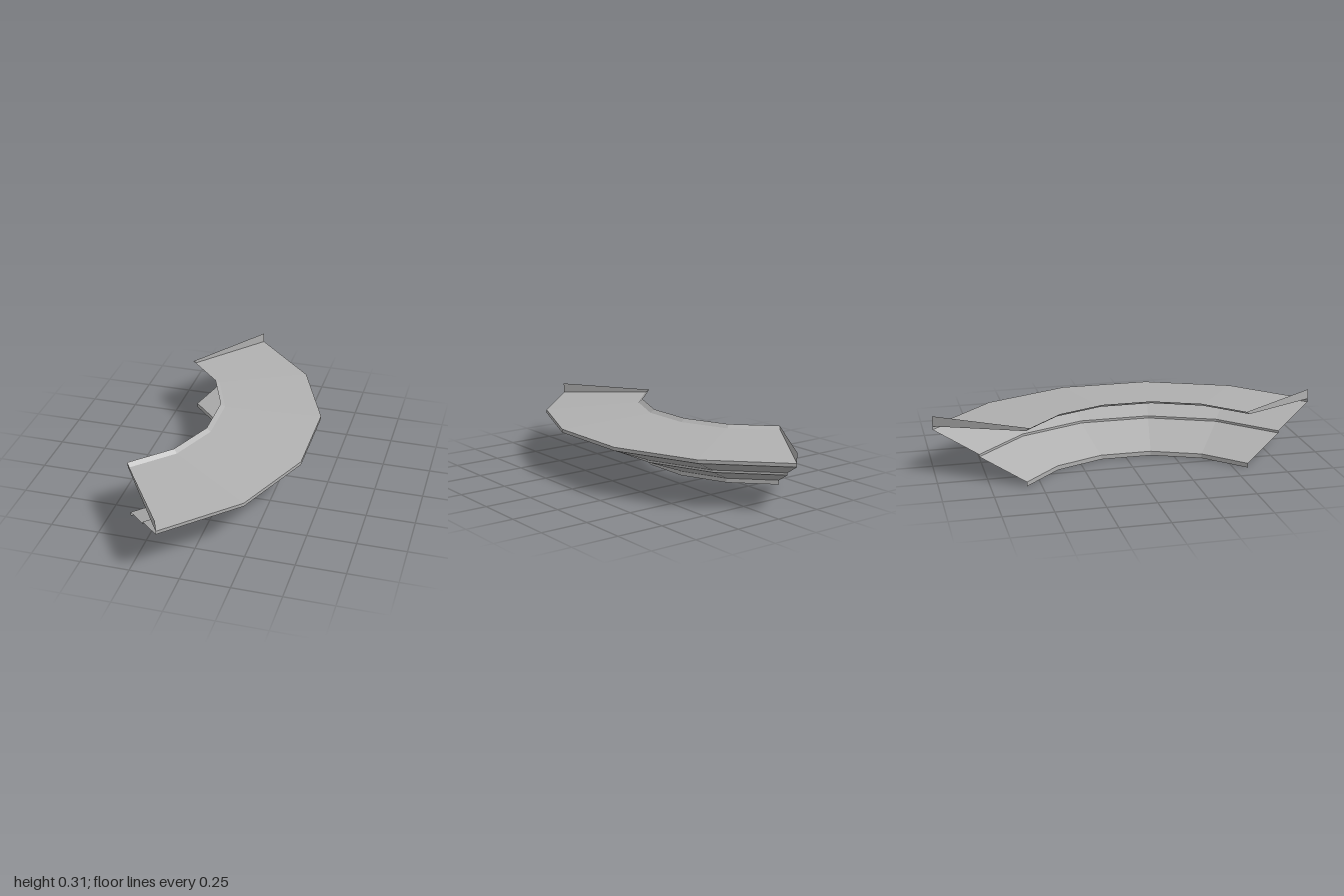
import * as THREE from 'three';

const CENTRE_X = -0.777;             // axis of the arc
const STEP = Math.PI / 8;            // each facet turns 22.5 degrees
const FACETS = 5;
const HALF = STEP * FACETS / 2;

const grey = new THREE.MeshStandardMaterial({ color: 0xb0b0b0, flatShading: true, side: THREE.DoubleSide });
grey.name = 'grey';

// Sweep a [radius, height] profile around the faceted arc
function arcSheet(name, profile) {
  const points = profile.map(([r, y]) => new THREE.Vector2(r, y));
  const geometry = new THREE.LatheGeometry(points, FACETS, Math.PI / 2 - HALF, HALF * 2);
  const mesh = new THREE.Mesh(geometry, grey);
  mesh.name = name;
  return mesh;
}

// Upright plate standing on the radial end of the top sheet
function endPlate(name, angle) {
  const shape = new THREE.Shape([[1.203, 0.253], [1.203, 0.306], [0.667, 0.306], [0.69, 0.289]]
    .map(([r, y]) => new THREE.Vector2(r, y)));
  const mesh = new THREE.Mesh(new THREE.ShapeGeometry(shape), grey);
  mesh.rotation.y = angle;
  mesh.name = name;
  return mesh;
}

export function createModel() {
  const model = new THREE.Group();
  model.name = 'curvedStand';

  const arc = new THREE.Group();
  arc.name = 'arc';
  arc.position.x = CENTRE_X;
  model.add(arc);

  // Stepped underside, open at the ends and along the inside
  arc.add(arcSheet('baseEdge', [[0.69, 0], [0.69, 0.023]]));
  arc.add(arcSheet('lowerSlope', [[0.69, 0.023], [0.947, 0.123]]));
  arc.add(arcSheet('middleEdge', [[0.947, 0.123], [0.947, 0.135]]));
  arc.add(arcSheet('upperSlope', [[0.947, 0.135], [1.203, 0.235]]));
  arc.add(arcSheet('outerEdge', [[1.203, 0.235], [1.203, 0.253]]));

  // Gently sloped top with a raised inner lip
  arc.add(arcSheet('topSheet', [[1.203, 0.253], [0.69, 0.289]]));
  arc.add(arcSheet('innerLip', [[0.69, 0.289], [0.667, 0.306]]));

  // End plates
  arc.add(endPlate('frontEndPlate', -HALF));
  arc.add(endPlate('backEndPlate', HALF));

  return model;
}
